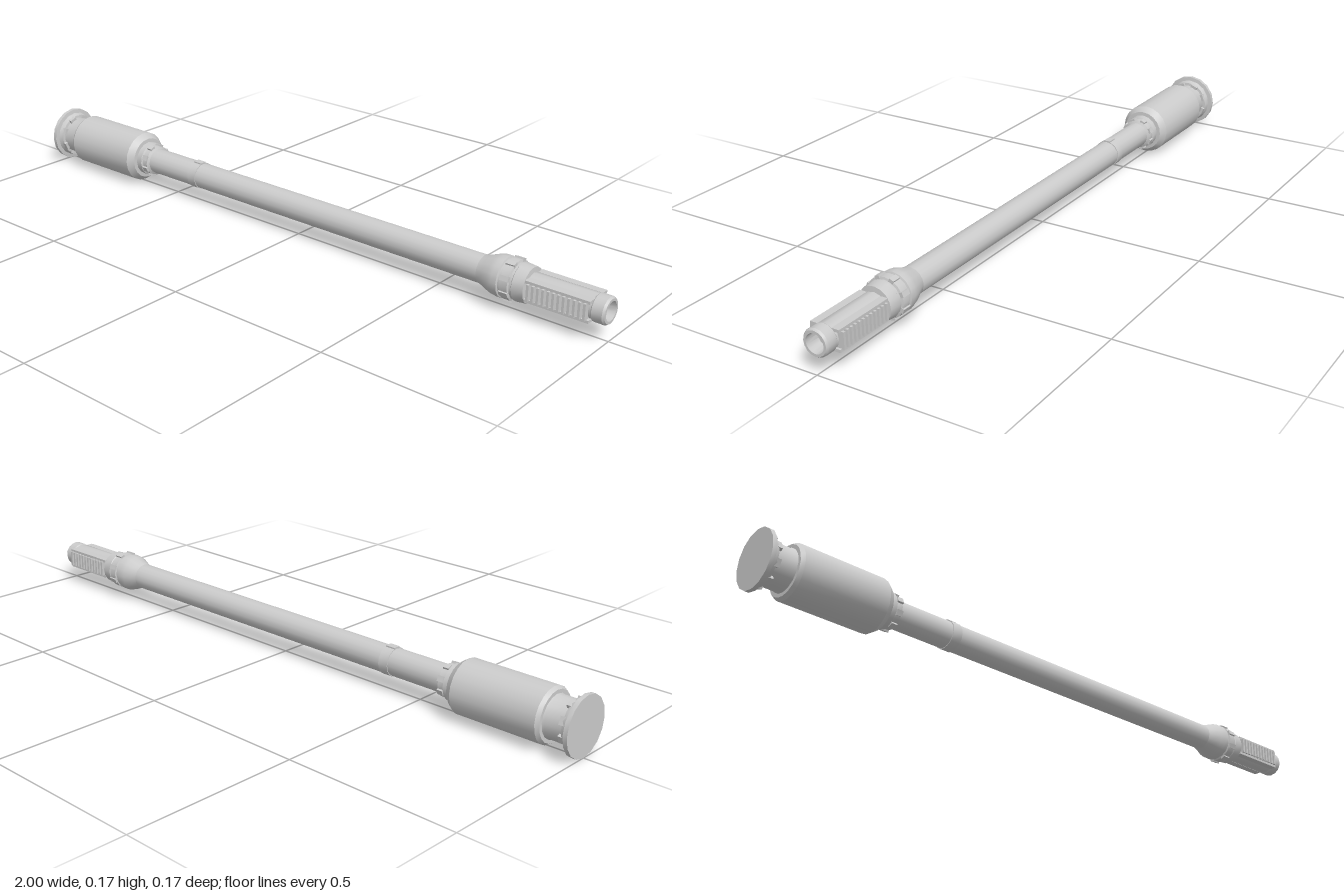
import * as THREE from 'three';
import { toCreasedNormals } from 'three/addons/utils/BufferGeometryUtils.js';

const AXIS_Y = 0.084;
const material = new THREE.MeshStandardMaterial({ color: 0xcccccc });

export function createModel() {
  const model = new THREE.Group();
  const barrel = new THREE.Group();
  barrel.name = 'barrelAssembly';
  barrel.position.y = AXIS_Y;
  model.add(barrel);

  const add = (name, geometry, parent = barrel) => {
    const mesh = new THREE.Mesh(geometry, material);
    mesh.name = name;
    parent.add(mesh);
    return mesh;
  };

  // Turned part along x from [x, radius] pairs
  const turned = (name, profile, sides = 16, start = 0, sweep = Math.PI * 2) => {
    const points = profile.map(([x, r]) => new THREE.Vector2(r, x));
    const geometry = new THREE.LatheGeometry(points, sides, start, sweep);
    geometry.rotateZ(-Math.PI / 2);
    return add(name, toCreasedNormals(geometry, 0.55));
  };

  // Ring of small blocks around the axis
  const lugRing = (name, count, x, radius, size, offset = 0) => {
    const group = new THREE.Group();
    group.name = name;
    for (let i = 0; i < count; i++) {
      const pivot = new THREE.Group();
      pivot.rotation.x = offset + (i / count) * Math.PI * 2;
      add('lug', new THREE.BoxGeometry(...size), pivot).position.set(x, radius, 0);
      group.add(pivot);
    }
    barrel.add(group);
  };

  // Rear flange and neck
  turned('rearFlange', [[-1, 0], [-1, 0.083], [-0.988, 0.083], [-0.986, 0.071], [-0.972, 0.066], [-0.97, 0.055]]);
  turned('rearNeck', [[-0.98, 0.058], [-0.92, 0.058], [-0.905, 0.064]]);
  lugRing('flangeLugs', 8, -0.972, 0.06, [0.018, 0.012, 0.022], Math.PI / 8);

  // Large sleeve with a bevel at both ends
  turned('breechSleeve', [
    [-0.915, 0.05], [-0.915, 0.07], [-0.905, 0.077], [-0.65, 0.077],
    [-0.63, 0.063], [-0.628, 0.04],
  ], 20);

  // Stepped collar
  turned('collar', [
    [-0.635, 0.052], [-0.61, 0.052], [-0.607, 0.047], [-0.59, 0.047], [-0.584, 0.037],
  ]);
  lugRing('collarLugs', 8, -0.598, 0.047, [0.018, 0.008, 0.016], Math.PI / 8);

  // Long tube and its clamp
  turned('tube', [[-0.62, 0.039], [0.645, 0.039]]);
  turned('tubeClamp', [[-0.415, 0.037], [-0.415, 0.041], [-0.385, 0.041], [-0.385, 0.037]]);
  add('clampTab', new THREE.BoxGeometry(0.03, 0.008, 0.02)).position.set(-0.4, 0.039, 0);

  // Flared muzzle collar with grooves
  turned('muzzleCollar', [
    [0.63, 0.038], [0.65, 0.044], [0.675, 0.054], [0.69, 0.057], [0.705, 0.057],
    [0.707, 0.052], [0.713, 0.052], [0.715, 0.057], [0.738, 0.057],
    [0.74, 0.051], [0.746, 0.051], [0.748, 0.053], [0.78, 0.05], [0.782, 0.03],
  ]);
  lugRing('muzzleLugs', 8, 0.727, 0.054, [0.026, 0.012, 0.014], Math.PI / 8);

  // Muzzle brake body
  turned('brakeBody', [[0.775, 0.036], [0.965, 0.036]], 12);

  // Rows of fins on both sides, with rails above and below
  for (const side of [-1, 1]) {
    const fins = new THREE.Group();
    fins.name = side > 0 ? 'frontFins' : 'backFins';
    for (let i = 0; i < 12; i++) {
      add('fin', new THREE.BoxGeometry(0.007, 0.046, 0.026), fins)
        .position.set(0.793 + i * 0.0145, 0, side * 0.037);
    }
    barrel.add(fins);
    for (const y of [-1, 1]) {
      add('finRail', new THREE.BoxGeometry(0.182, 0.008, 0.022))
        .position.set(0.872, y * 0.026, side * 0.032);
    }
  }

  // Open muzzle ring and recessed bore
  turned('muzzleRing', [
    [0.96, 0.034], [0.965, 0.038], [0.994, 0.038], [1, 0.034],
    [1, 0.027], [0.96, 0.025], [0.96, 0],
  ]);

  return model;
}
